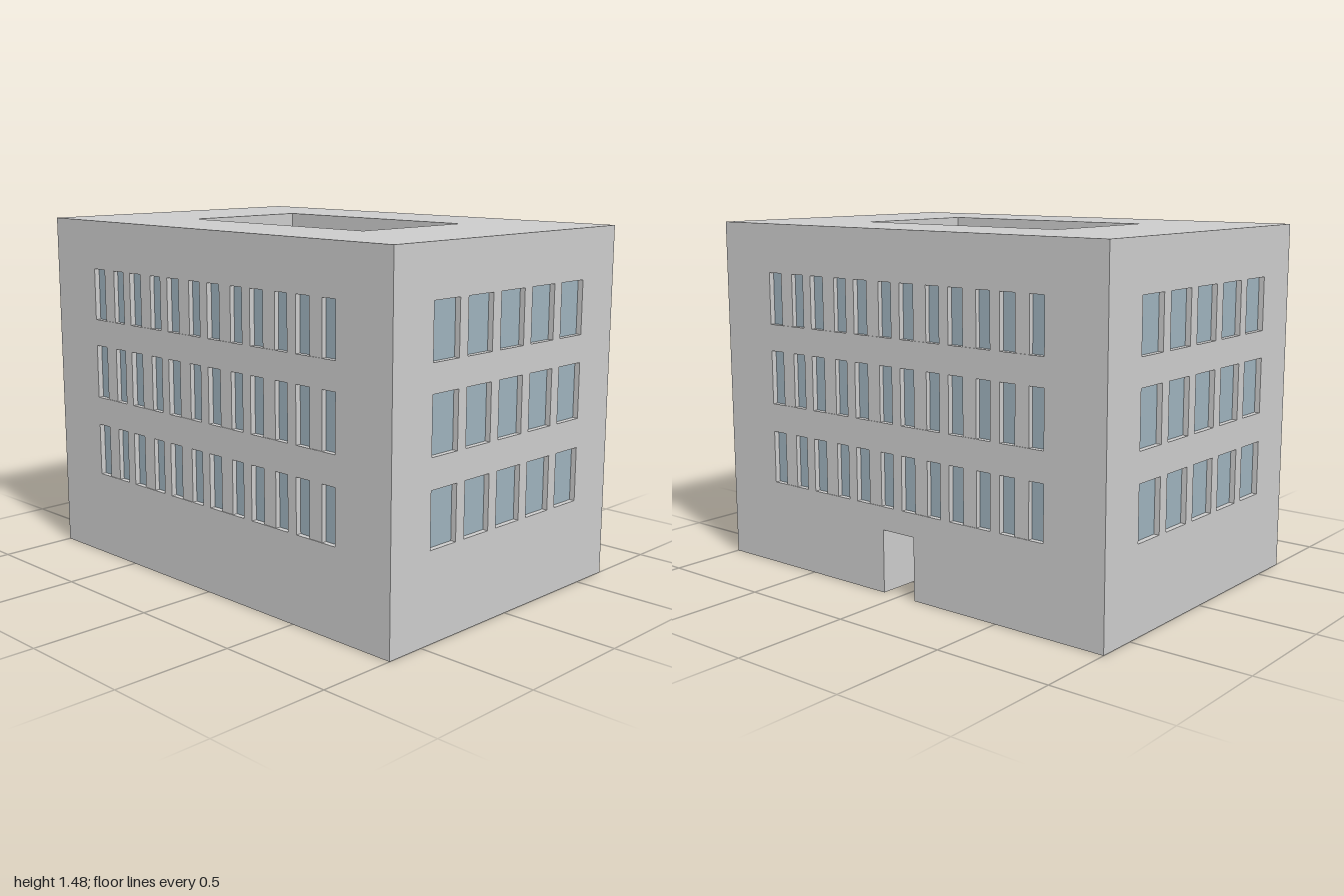
import * as THREE from 'three';

const HX = 1, HZ = 0.67;               // half footprint
const TOP = 1.48, ROOF = 1.38;         // full height, underside of the roof slab
const CX = 0.5, CZ = 0.29;             // half size of the courtyard
const DOOR = 0.083, DOOR_H = 0.265;    // half width and height of the passage
const BASE = 0.005, RECESS = 0.025;    // floor plate thickness, window depth
const ROWS = [[0.363, 0.588], [0.71, 0.94], [1.054, 1.274]];

const wallMat = new THREE.MeshStandardMaterial({ color: 0xcccccc });
const glassMat = new THREE.MeshStandardMaterial({ color: 0x9db1bc });

function mesh(name, geometry, material = wallMat) {
  const m = new THREE.Mesh(geometry, material);
  m.name = name;
  return m;
}

const poly = (pts) => pts.map(([x, y]) => new THREE.Vector2(x, y));
const rect = (x0, y0, x1, y1) => poly([[x0, y0], [x1, y0], [x1, y1], [x0, y1]]);

// Horizontal slab from a plan outline (plan y is -z), between two heights
function slab(name, outline, holes, y0, y1) {
  const shape = new THREE.Shape(outline);
  shape.holes = holes.map((h) => new THREE.Path(h));
  const g = new THREE.ExtrudeGeometry(shape, { depth: y1 - y0, bevelEnabled: false });
  g.rotateX(-Math.PI / 2);
  g.translate(0, y0, 0);
  return mesh(name, g);
}

// Facade panel with recessed windows; its outer face is at local z = 0
function facade(name, half, centres, halfWindow, pillar, door) {
  const group = new THREE.Group();
  group.name = name;
  const outline = [[-half, BASE]];
  if (door) outline.push([-DOOR, BASE], [-DOOR, DOOR_H], [DOOR, DOOR_H], [DOOR, BASE]);
  outline.push([half, BASE], [half, ROOF], [-half, ROOF]);
  const shape = new THREE.Shape(poly(outline));

  for (const [y0, y1] of ROWS) {
    for (const c of centres) {
      shape.holes.push(new THREE.Path(rect(c - halfWindow, y0, c + halfWindow, y1)));
      const glass = mesh('windowGlass', new THREE.PlaneGeometry(halfWindow * 2, y1 - y0), glassMat);
      glass.position.set(c, (y0 + y1) / 2, -RECESS + 0.002);
      group.add(glass);
      if (pillar) {
        const depth = RECESS - 0.003;
        const p = mesh('windowPillar', new THREE.BoxGeometry(pillar * 2, y1 - y0, depth));
        p.position.set(c, (y0 + y1) / 2, -RECESS + depth / 2);
        group.add(p);
      }
    }
  }
  const g = new THREE.ExtrudeGeometry(shape, { depth: RECESS, bevelEnabled: false });
  g.translate(0, 0, -RECESS);
  group.add(mesh('facadeWall', g));
  return group;
}

export function createModel() {
  const model = new THREE.Group();
  model.name = 'courtyardBuilding';

  const ix = HX - RECESS, iz = HZ - RECESS;
  const court = rect(-CX, -CZ, CX, CZ);

  // Floor plate, notched at the outer half of the passage
  const notch = HZ - 0.19;
  model.add(slab('floorPlate', poly([
    [-HX, -HZ], [HX, -HZ], [HX, HZ], [DOOR, HZ], [DOOR, notch],
    [-DOOR, notch], [-DOOR, HZ], [-HX, HZ],
  ]), [], 0, BASE));

  // Core walls: the lower storey is split by the passage into the courtyard
  model.add(slab('lowerCore', poly([
    [-ix, -iz], [ix, -iz], [ix, iz], [DOOR, iz], [DOOR, CZ], [CX, CZ], [CX, -CZ],
    [-CX, -CZ], [-CX, CZ], [-DOOR, CZ], [-DOOR, iz], [-ix, iz],
  ]), [], BASE, DOOR_H));
  model.add(slab('upperCore', rect(-ix, -iz, ix, iz), [court], DOOR_H, ROOF));
  model.add(slab('roof', rect(-HX, -HZ, HX, HZ), [court], ROOF, TOP));

  // Long facades have six divided windows per row, short ones five plain windows
  const longCentres = [-2.5, -1.5, -0.5, 0.5, 1.5, 2.5].map((i) => i * 0.25);
  const shortCentres = [-2, -1, 0, 1, 2].map((i) => i * 0.192);

  const front = facade('frontFacade', HX, longCentres, 0.102, 0.033, false);
  front.position.z = HZ;
  const back = facade('backFacade', HX, longCentres, 0.102, 0.033, true);
  back.position.z = -HZ;
  back.rotation.y = Math.PI;
  model.add(front, back);

  for (const s of [1, -1]) {
    const side = facade(s > 0 ? 'leftFacade' : 'rightFacade', iz, shortCentres, 0.072, 0, false);
    side.position.x = s * HX;
    side.rotation.y = s * Math.PI / 2;
    model.add(side);
  }
  return model;
}
